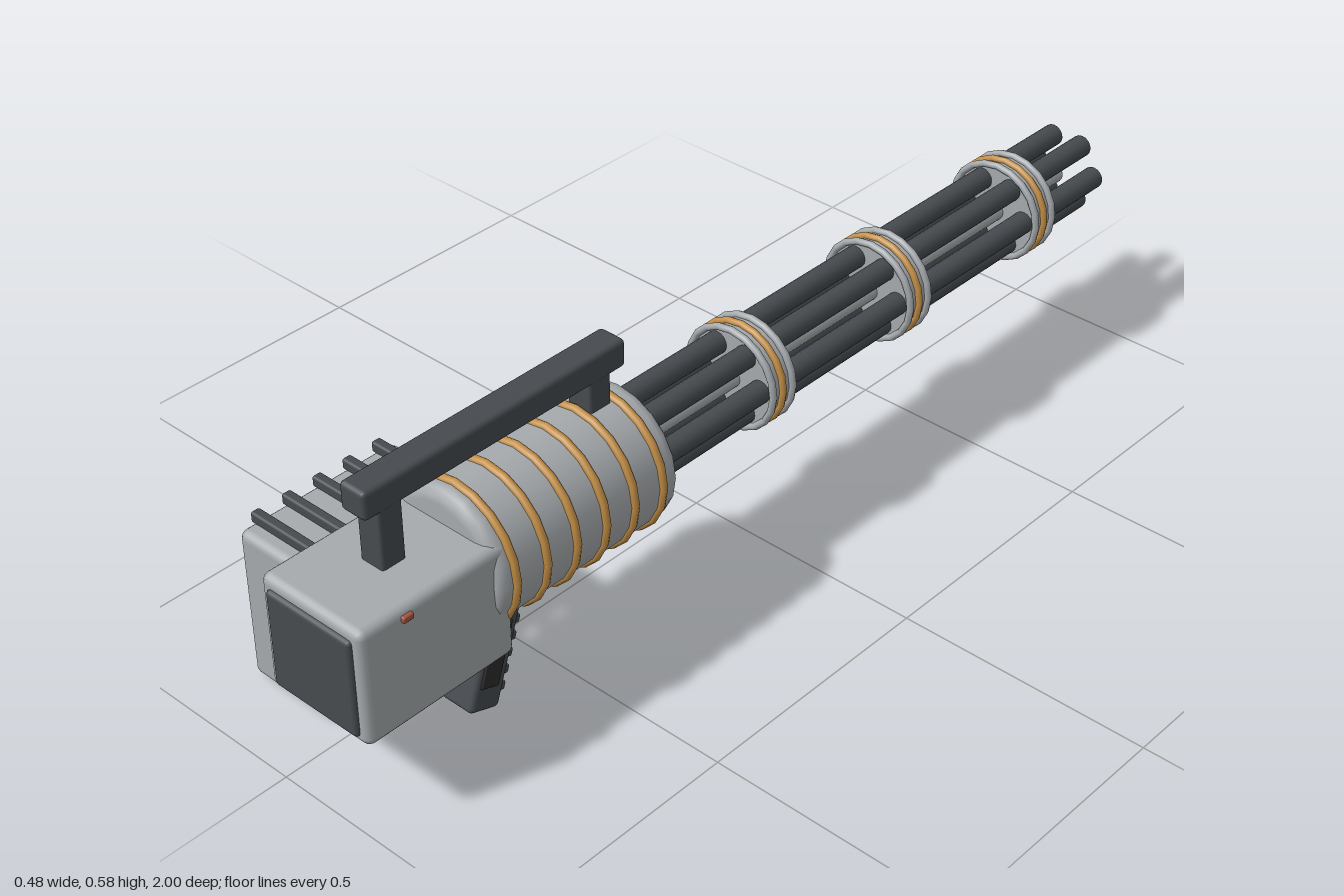
import * as THREE from 'three';
import { RoundedBoxGeometry } from 'three/addons/geometries/RoundedBoxGeometry.js';

const AX = 0.096, AY = 0.34; // rotation axis of the barrel cluster

export function createModel() {
  const mat = (name, color) => Object.assign(new THREE.MeshStandardMaterial({ color }), { name });
  const grey = mat('light grey metal', 0xa6aaad);
  const dark = mat('dark gunmetal', 0x464b4f);
  const black = mat('black rubber', 0x2c2c2e);
  const gold = mat('brass', 0xc48f45);
  const red = mat('rust red', 0xa4533f);

  const model = new THREE.Group();
  const add = (name, geo, material, x, y, z, parent = model) => {
    const m = new THREE.Mesh(geo, material);
    m.name = name;
    m.position.set(x, y, z);
    parent.add(m);
    return m;
  };
  const box = (name, material, w, h, d, x, y, z, r = 0.008, parent = model) =>
    add(name, new RoundedBoxGeometry(w, h, d, 2, r), material, x, y, z, parent);
  const rod = (r, len, seg = 16) => new THREE.CylinderGeometry(r, r, len, seg).rotateX(Math.PI / 2);
  const ring = (R, r) => new THREE.TorusGeometry(R, r, 8, 20);

  // Receiver with rear plate and side button
  box('receiver', grey, 0.234, 0.23, 0.32, AX, 0.3, 0.832, 0.016);
  box('rearPlate', dark, 0.196, 0.194, 0.03, AX, 0.298, 0.985, 0.009);
  box('button', red, 0.012, 0.012, 0.022, 0.214, 0.397, 0.897, 0.003);

  // Motor drum with bevelled ends and brass bands
  const profile = [[0, 0.292], [0.11, 0.292], [0.122, 0.294], [0.131, 0.302], [0.134, 0.315],
    [0.134, 0.69], [0.131, 0.704], [0.122, 0.712], [0.11, 0.715], [0, 0.715]]
    .map(([r, z]) => new THREE.Vector2(r, z));
  add('drum', new THREE.LatheGeometry(profile, 20).rotateX(Math.PI / 2), grey, AX, AY, 0);
  for (let i = 0; i < 6; i++) add('drumBand', ring(0.134, 0.008), gold, AX, AY, 0.336 + i * 0.0685);

  // Six barrels around a central shaft
  add('shaft', rod(0.02, 1.26), grey, AX, AY, -0.33);
  for (let i = 0; i < 6; i++) {
    const a = i * Math.PI / 3;
    const x = AX + 0.068 * Math.cos(a), y = AY + 0.068 * Math.sin(a);
    add('barrel', rod(0.022, 1.306), dark, x, y, -0.343);
    add('muzzle', rod(0.017, 0.008), red, x, y, -0.996);
  }

  // Barrel clamps, each with two steel rings and a brass ring
  for (const z of [-0.012, -0.398, -0.787]) {
    add('clamp', rod(0.096, 0.05, 20), grey, AX, AY, z);
    for (const s of [-1, 1]) add('clampRing', ring(0.099, 0.007), grey, AX, AY, z + s * 0.026);
    add('clampBand', ring(0.099, 0.007), gold, AX, AY, z);
  }

  // Carrying handle
  box('handleBar', dark, 0.057, 0.055, 0.58, AX, 0.553, 0.6, 0.009);
  box('handleRearPost', dark, 0.053, 0.14, 0.05, AX, 0.47, 0.836, 0.006);
  box('handleFrontPost', dark, 0.053, 0.1, 0.05, AX, 0.495, 0.37, 0.006);

  // Raked pistol grip with side panels and finger ridges
  const grip = new THREE.Group();
  grip.name = 'grip';
  grip.position.set(AX, 0.105, 0.645);
  grip.rotation.x = -0.33;
  model.add(grip);
  box('gripBody', dark, 0.076, 0.238, 0.07, 0, 0.02, 0, 0.01, grip);
  for (const s of [-1, 1]) box('gripPanel', black, 0.008, 0.125, 0.042, s * 0.038, 0.012, 0.004, 0.003, grip);
  for (let i = 0; i < 5; i++) box('gripRidge', dark, 0.07, 0.018, 0.014, 0, -0.06 + i * 0.032, -0.036, 0.005, grip);

  // Trigger guard and trigger
  const guard = new THREE.CatmullRomCurve3([[0.215, 0.515], [0.185, 0.515], [0.174, 0.53], [0.174, 0.6]]
    .map(([y, z]) => new THREE.Vector3(0, y, z)));
  add('triggerGuard', new THREE.TubeGeometry(guard, 12, 0.006, 8), dark, AX, 0, 0);
  box('trigger', black, 0.012, 0.035, 0.01, AX, 0.198, 0.555, 0.003);

  // Ammunition box with ribbed lid and side panel
  box('ammoBox', grey, 0.193, 0.307, 0.345, -0.138, 0.163, 0.697, 0.016);
  for (let i = 0; i < 5; i++) box('lidRib', dark, 0.201, 0.022, 0.02, -0.137, 0.324, 0.56 + i * 0.067, 0.005);
  box('sidePanel', red, 0.008, 0.175, 0.27, -0.235, 0.163, 0.697, 0.003);

  // Curved feed chute linking the box to the drum
  const feed = new THREE.CatmullRomCurve3([[-0.085, 0.318, 0.645], [-0.062, 0.35, 0.63], [-0.04, 0.366, 0.61], [-0.015, 0.375, 0.6]]
    .map((p) => new THREE.Vector3(...p)));
  for (let i = 0; i < 5; i++) {
    const p = feed.getPoint(i / 4);
    box('feedLink', dark, 0.026, 0.026, 0.034, p.x, p.y, p.z, 0.006).rotation.z = 0.6 - i * 0.12;
  }
  return model;
}
